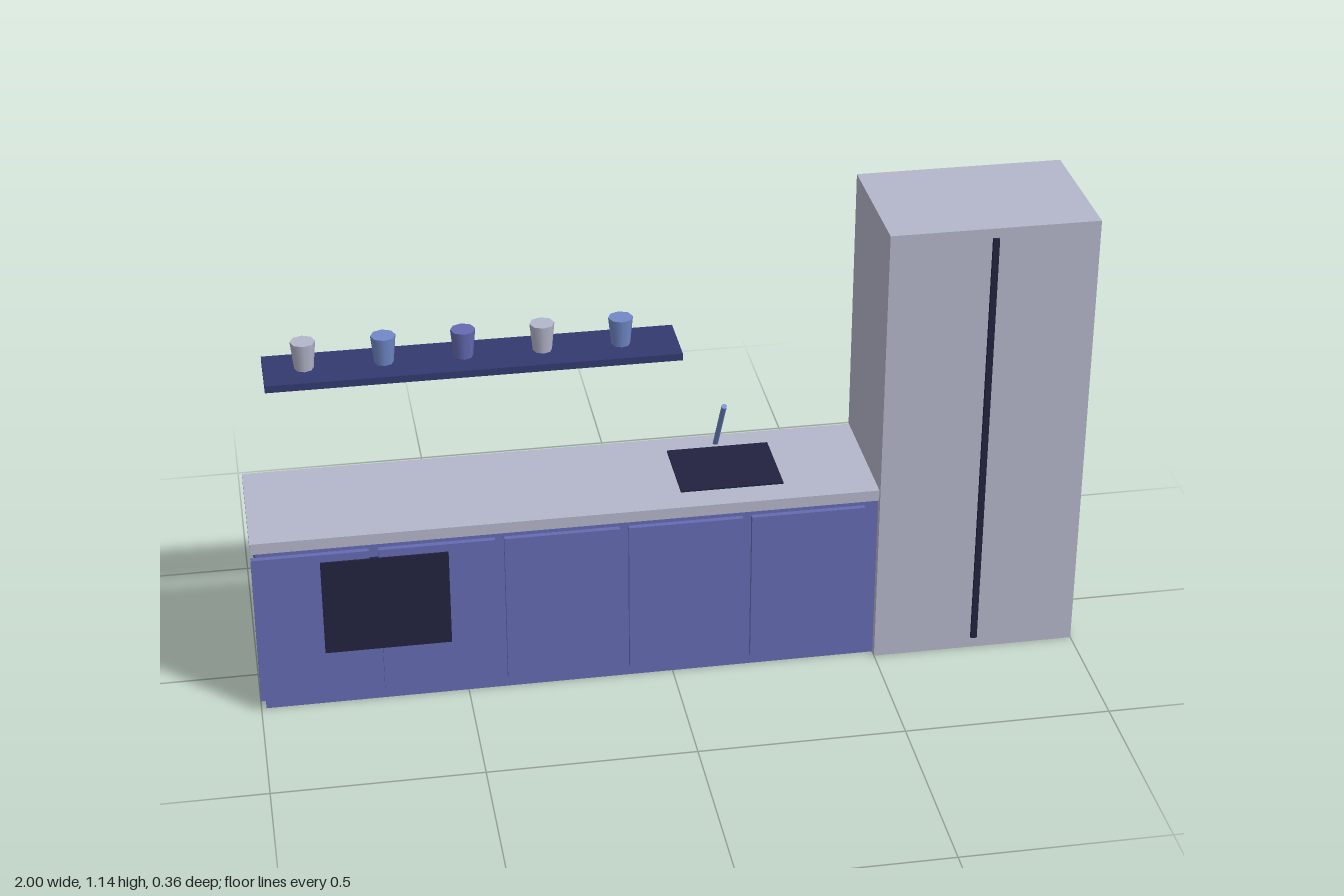
import * as THREE from 'three';

const mat = (name, color, extra = {}) => {
  const m = new THREE.MeshStandardMaterial({ color, ...extra });
  m.name = name;
  return m;
};

export function createModel() {
  const group = new THREE.Group();
  const pale = mat('paleGrey', 0xb4b6cb);
  const violet = mat('violet', 0x666bb3);
  const navy = mat('navy', 0x343a70);
  const dark = mat('dark', 0x222240);
  const blue = mat('blue', 0x7189c8);

  const add = (name, geometry, material, x, y, z) => {
    const mesh = new THREE.Mesh(geometry, material);
    mesh.name = name;
    mesh.position.set(x, y, z);
    group.add(mesh);
    return mesh;
  };
  // Box given by its limits on each axis
  const box = (name, material, [x0, x1], [y0, y1], [z0, z1]) =>
    add(name, new THREE.BoxGeometry(x1 - x0, y1 - y0, z1 - z0), material,
      (x0 + x1) / 2, (y0 + y1) / 2, (z0 + z1) / 2);

  // Tall fridge with one long handle
  box('fridge', pale, [0.5, 1], [0, 1.142], [-0.178, 0.17]);
  box('fridgeHandle', dark, [0.742, 0.757], [0.03, 1.118], [0.169, 0.178]);

  // Base cabinet and worktop
  box('cabinet', violet, [-0.988, 0.5], [0, 0.437], [-0.17, 0.15]);
  box('worktop', pale, [-1, 0.5], [0.437, 0.465], [-0.175, 0.16]);

  // Cabinet doors
  for (let i = 0; i < 5; i++) {
    const x = -1 + i * 0.2975;
    box('door', violet, [x, x + 0.276], [0.03, 0.422], [0.149, 0.163]);
  }
  box('ovenWindow', dark, [-0.84, -0.538], [0.152, 0.402], [0.158, 0.167]);

  // Sink and leaning tap
  box('sink', dark, [0.03, 0.28], [0.461, 0.469], [-0.11, 0.09]);
  const tap = add('tap', new THREE.CylinderGeometry(0.007, 0.007, 0.2, 8), blue, 0.155, 0.543, -0.081);
  tap.rotation.x = 0.59;

  // Wall shelf with a row of tapered cups
  box('shelf', navy, [-0.935, 0.053], [0.763, 0.781], [-0.172, -0.02]);
  const cup = new THREE.CylinderGeometry(0.03, 0.023, 0.07, 8);
  [pale, blue, violet, pale, blue].forEach((m, i) =>
    add('cup', cup, m, -0.838 + i * 0.1885, 0.816, -0.098));

  return group;
}
